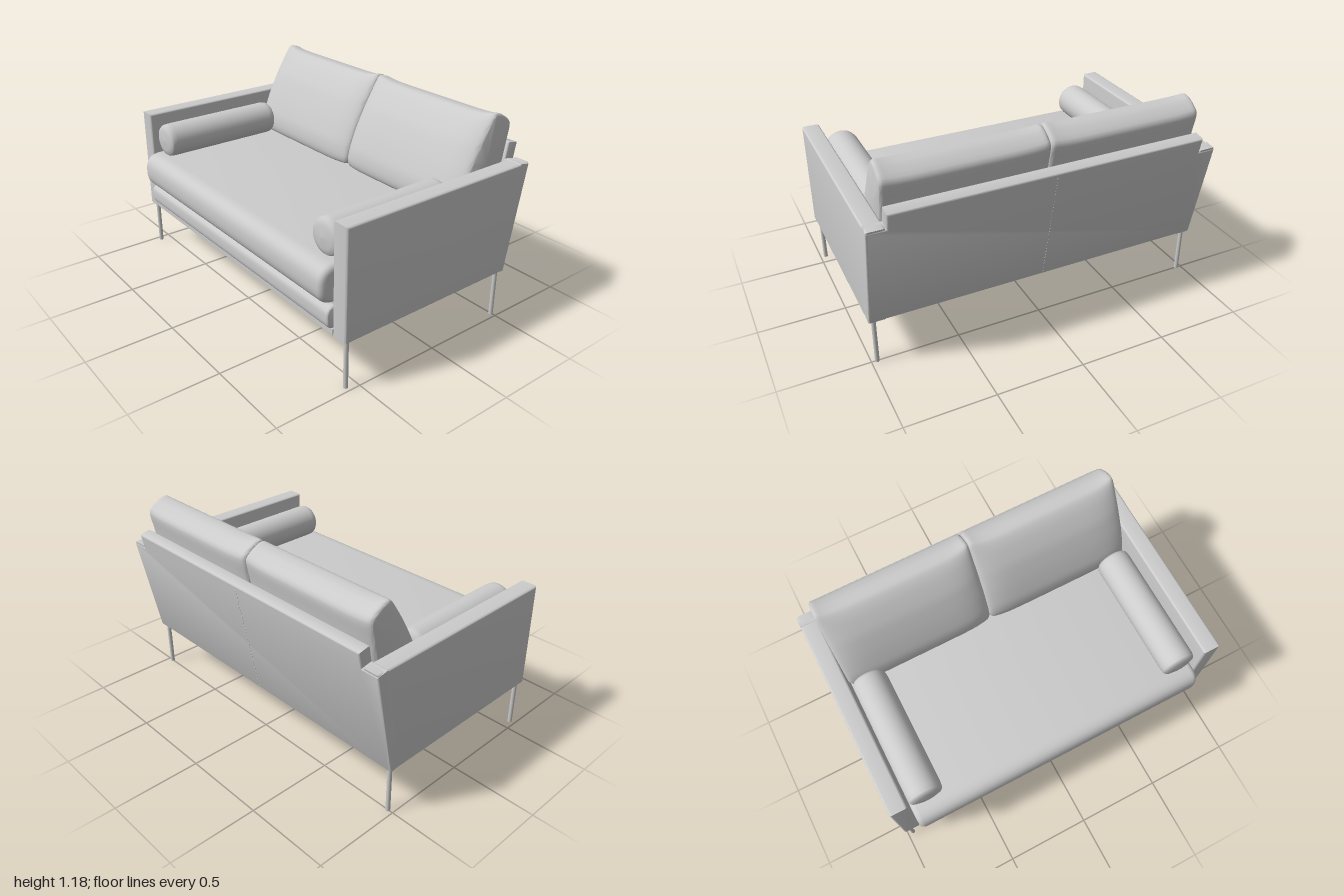
import * as THREE from 'three';
import { toCreasedNormals } from 'three/addons/utils/BufferGeometryUtils.js';

const grey = new THREE.MeshStandardMaterial({ color: 0xcccccc });
const RAKE = 0.189;

function add(parent, name, geometry, x = 0, y = 0, z = 0) {
  const mesh = new THREE.Mesh(geometry, grey);
  mesh.name = name;
  mesh.position.set(x, y, z);
  parent.add(mesh);
  return mesh;
}

function outline(points) {
  return new THREE.Shape(points.map(([x, y]) => new THREE.Vector2(x, y)));
}

// Rectangle with soft corners.
function softRect(x0, x1, y0, y1, r) {
  const s = new THREE.Shape();
  s.moveTo(x0 + r, y0).lineTo(x1 - r, y0).quadraticCurveTo(x1, y0, x1, y0 + r);
  s.lineTo(x1, y1 - r).quadraticCurveTo(x1, y1, x1 - r, y1);
  s.lineTo(x0 + r, y1).quadraticCurveTo(x0, y1, x0, y1 - r);
  s.lineTo(x0, y0 + r).quadraticCurveTo(x0, y0, x0 + r, y0);
  return s;
}

// Extrusion with softened edges that keeps the outline's size, from z = 0 to z = depth.
function softExtrude(shape, depth, bevel) {
  const geometry = new THREE.ExtrudeGeometry(shape, {
    depth: depth - 2 * bevel, bevelSize: bevel, bevelThickness: bevel,
    bevelOffset: -bevel, bevelSegments: 4, curveSegments: 8,
  });
  return toCreasedNormals(geometry.translate(0, 0, bevel), 0.6);
}

// Side profile in (z, y), extruded across x and centred on x = 0.
function sidePanel(shape, width, bevel) {
  return softExtrude(shape, width, bevel).translate(0, 0, -width / 2).rotateY(-Math.PI / 2);
}

// Closed smooth ring through [z, y] points.
function ring(points, count) {
  const curve = new THREE.CatmullRomCurve3(
    points.map(([z, y]) => new THREE.Vector3(0, y, z)), true, 'catmullrom', 0.35);
  return Array.from({ length: count }, (_, j) => curve.getPoint(j / count));
}

// Back pillow: a plump middle section blending into pinched ends.
function pillowGeometry(halfWidth) {
  const mid = [[-0.23, 0.652], [-0.205, 0.7], [-0.215, 0.78], [-0.262, 0.9], [-0.322, 1.02],
    [-0.393, 1.115], [-0.447, 1.16], [-0.52, 1.152], [-0.592, 1.1], [-0.582, 1.0],
    [-0.56, 0.85], [-0.515, 0.67], [-0.4, 0.648]];
  const end = [[-0.25, 0.656], [-0.23, 0.7], [-0.25, 0.78], [-0.3, 0.9], [-0.365, 1.02],
    [-0.435, 1.135], [-0.47, 1.18], [-0.52, 1.168], [-0.588, 1.112], [-0.57, 1.0],
    [-0.54, 0.85], [-0.49, 0.67], [-0.4, 0.652]];
  const n = 52, steps = 32;
  const a = ring(mid, n), b = ring(end, n);
  const centre = new THREE.Vector3(0, 0.9, -0.42);
  const positions = [], index = [];
  for (let i = 0; i <= steps; i++) {
    const u = -Math.cos((i / steps) * Math.PI);
    const blend = Math.abs(u) ** 7;
    const edge = THREE.MathUtils.clamp((Math.abs(u) - 0.95) / 0.05, 0, 1);
    const inset = 0.07 * (1 - Math.sqrt(1 - edge * edge));
    for (let j = 0; j < n; j++) {
      const p = a[j].clone().lerp(b[j], blend).lerp(centre, inset);
      positions.push(u * halfWidth, p.y, p.z);
    }
  }
  for (let i = 0; i < steps; i++) {
    for (let j = 0; j < n; j++) {
      const k = (j + 1) % n, p = i * n, q = p + n;
      index.push(p + j, q + j, q + k, p + j, q + k, p + k);
    }
  }
  // End caps
  const first = positions.length / 3, last = steps * n;
  positions.push(-halfWidth, centre.y, centre.z, halfWidth, centre.y, centre.z);
  for (let j = 0; j < n; j++) {
    const k = (j + 1) % n;
    index.push(first, j, k, first + 1, last + k, last + j);
  }
  const geometry = new THREE.BufferGeometry();
  geometry.setAttribute('position', new THREE.Float32BufferAttribute(positions, 3));
  geometry.setIndex(index);
  return toCreasedNormals(geometry, 0.8);
}

// Bolster: a cylinder along z with rounded rims and slightly domed ends.
function bolsterGeometry(radius, length) {
  const h = length / 2;
  const half = [[0, h], [radius * 0.6, h - 0.004], [radius * 0.88, h - 0.012],
    [radius * 0.97, h - 0.024], [radius, h - 0.05]];
  const profile = [...half.map(([r, y]) => [r, -y]), ...half.reverse()];
  const geometry = new THREE.LatheGeometry(profile.map(([r, y]) => new THREE.Vector2(r, y)), 40);
  return geometry.rotateX(Math.PI / 2);
}

export function createModel() {
  const sofa = new THREE.Group();
  sofa.name = 'sofa';

  // Arms, running into the raked back
  const arm = sidePanel(outline([[0.597, 0.28], [0.597, 0.9], [-0.645, 0.9], [-0.527, 0.28]]), 0.1, 0.012);
  for (const side of [-1, 1]) add(sofa, side > 0 ? 'leftArm' : 'rightArm', arm, side * 0.95);

  // Backrest: one full-width panel whose top rises between the arms
  const panel = outline([[-1, 0], [1, 0], [1, 0.622], [0.897, 0.622], [0.897, 0.712],
    [-0.897, 0.712], [-0.897, 0.622], [-1, 0.622]]);
  const backrest = add(sofa, 'backrest', softExtrude(panel, 0.072, 0.01), 0, 0.28, -0.53);
  backrest.rotation.x = -RAKE;

  // Base: front board, padded front rail and the deck over the open underside
  add(sofa, 'frontBoard', new THREE.BoxGeometry(1.8, 0.035, 0.3), 0, 0.2975, 0.445);
  add(sofa, 'frontRailCore', new THREE.BoxGeometry(1.8, 0.12, 0.27), 0, 0.37, 0.43);
  add(sofa, 'frontRailPadding', sidePanel(softRect(0.305, 0.627, 0.316, 0.442, 0.05), 1.8, 0.012));
  add(sofa, 'seatDeck', new THREE.BoxGeometry(1.8, 0.05, 1.06), 0, 0.43, 0.05);

  // Cushions
  add(sofa, 'seatCushion', sidePanel(softRect(-0.48, 0.665, 0.45, 0.66, 0.095), 1.79, 0.032));
  const pillow = pillowGeometry(0.449);
  const bolster = bolsterGeometry(0.1, 0.775);
  for (const side of [-1, 1]) {
    const label = side > 0 ? 'left' : 'right';
    add(sofa, label + 'BackPillow', pillow, side * 0.45);
    add(sofa, label + 'Bolster', bolster, side * 0.79, 0.757, 0.187);
  }

  // Rod legs, each with a diagonal brace under the frame
  const rod = new THREE.CylinderGeometry(0.0125, 0.0125, 0.28, 16);
  const bar = new THREE.CylinderGeometry(0.0125, 0.0125, 0.21, 16).rotateZ(Math.PI / 2);
  for (const side of [-1, 1]) {
    for (const [end, z, inward] of [['front', 0.565, -1], ['back', -0.5, 1]]) {
      const leg = new THREE.Group();
      leg.name = end + (side > 0 ? 'Left' : 'Right') + 'Leg';
      leg.position.set(side * 0.968, 0, z);
      add(leg, 'legRod', rod, 0, 0.14, 0);
      const brace = add(leg, 'legBrace', bar, -side * 0.074, 0.2695, inward * 0.074);
      brace.rotation.y = side * inward * Math.PI / 4;
      sofa.add(leg);
    }
  }

  // Stitched centre seam down the outside of the backrest
  const stitch = new THREE.BoxGeometry(0.004, 0.01, 0.004);
  for (let i = 1; i <= 32; i++) add(backrest, 'seamStitch', stitch, 0, (i * 0.7) / 33, 0);
  return sofa;
}
